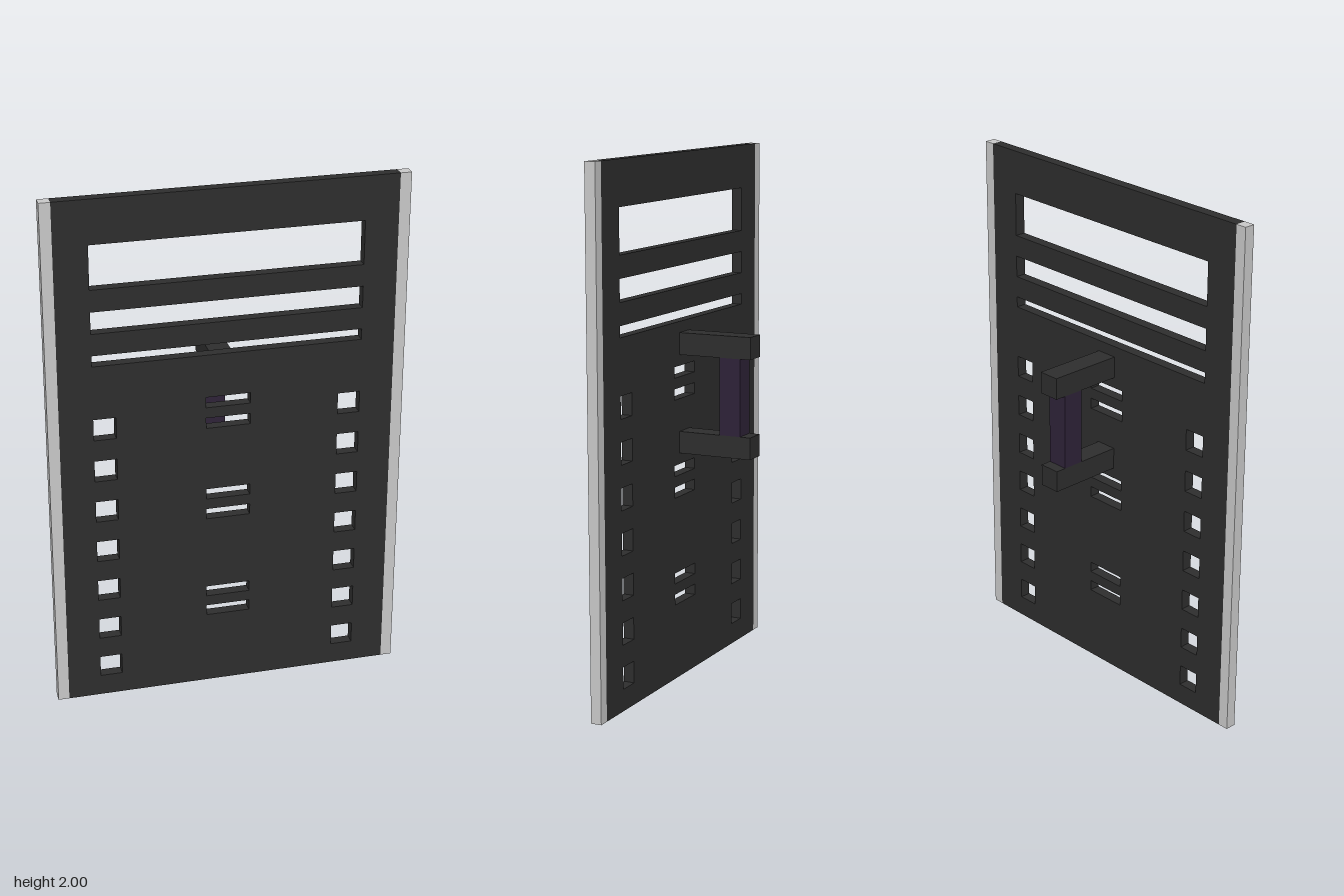
import * as THREE from 'three';

const U = 1 / 24; // the design sits on a regular grid

export function createModel() {
  const group = new THREE.Group();
  const charcoal = new THREE.MeshStandardMaterial({ name: 'charcoal', color: 0x2d2d2d });
  const lightGrey = new THREE.MeshStandardMaterial({ name: 'lightGrey', color: 0xc8c8c8 });
  const darkPurple = new THREE.MeshStandardMaterial({ name: 'darkPurple', color: 0x2e2238 });

  // Box from its low and high corners, in grid units
  function box(name, material, [x0, y0, z0], [x1, y1, z1]) {
    const geometry = new THREE.BoxGeometry((x1 - x0) * U, (y1 - y0) * U, (z1 - z0) * U);
    const mesh = new THREE.Mesh(geometry, material);
    mesh.position.set((x0 + x1) * U / 2, (y0 + y1) * U / 2, (z0 + z1) * U / 2);
    mesh.name = name;
    group.add(mesh);
  }

  function rectangle(target, x0, y0, x1, y1) {
    target.moveTo(x0 * U, y0 * U);
    target.lineTo(x1 * U, y0 * U);
    target.lineTo(x1 * U, y1 * U);
    target.lineTo(x0 * U, y1 * U);
    target.closePath();
    return target;
  }

  // Door panel with cut-outs
  const panel = rectangle(new THREE.Shape(), -15, 0, 15, 48);
  const cut = (...r) => panel.holes.push(rectangle(new THREE.Path(), ...r));
  // Wide windows at the top
  cut(-12, 40, 12, 44);
  cut(-12, 36, 12, 38);
  cut(-12, 33, 12, 34);
  // Columns of square holes
  for (let i = 0; i < 7; i++) {
    const y = 2 + i * 4;
    cut(-12, y, -10, y + 2);
    cut(10, y, 12, y + 2);
  }
  // Pairs of short slots down the middle
  for (const y of [7, 17, 26]) {
    cut(-2, y, 2, y + 1);
    cut(-2, y + 2, 2, y + 3);
  }
  const panelGeometry = new THREE.ExtrudeGeometry(panel, { depth: U, bevelEnabled: false });
  const panelMesh = new THREE.Mesh(panelGeometry, charcoal);
  panelMesh.position.z = 3 * U;
  panelMesh.name = 'panel';
  group.add(panelMesh);

  // Edge strips
  box('leftEdgeStrip', lightGrey, [15, 0, 3], [16, 48, 4]);
  box('rightEdgeStrip', lightGrey, [-16, 0, 3], [-15, 48, 4]);

  // Handle on the back
  box('upperHandleArm', charcoal, [-1, 30, -4], [1, 32, 3]);
  box('lowerHandleArm', charcoal, [-1, 21, -4], [1, 23, 3]);
  box('handleGrip', darkPurple, [-1, 23, -3], [1, 30, -1]);

  return group;
}
